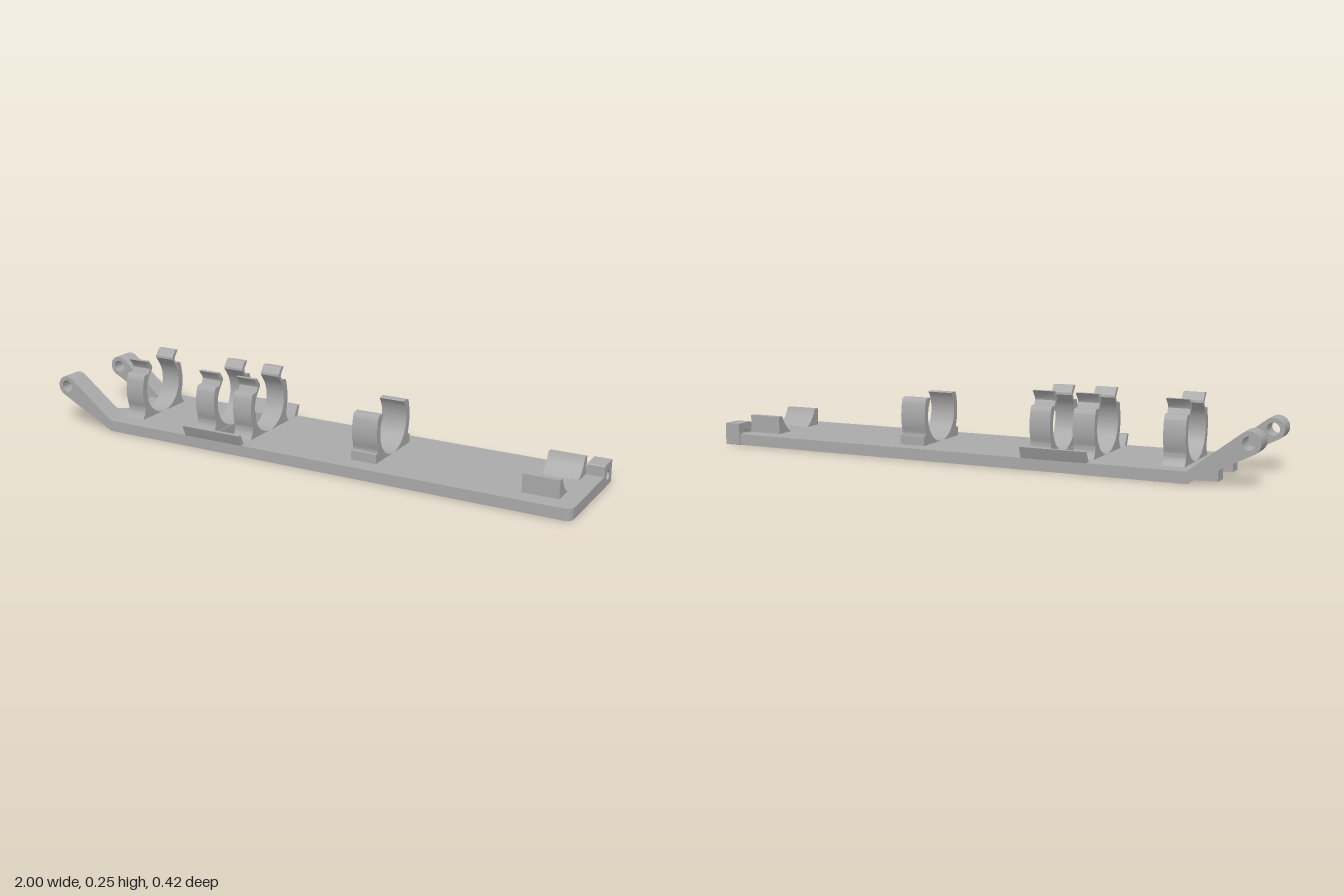
import * as THREE from 'three';
import { toCreasedNormals } from 'three/addons/utils/BufferGeometryUtils.js';

const PLATE_TOP = 0.04;

export function createModel() {
  const model = new THREE.Group();
  const grey = new THREE.MeshStandardMaterial({ color: 0xaaaaaa });
  grey.name = 'grey plastic';

  const extrude = (shape, depth) => new THREE.ExtrudeGeometry(shape, { depth, bevelEnabled: false, curveSegments: 24 });
  const add = (name, geometry, parent = model) => {
    const mesh = new THREE.Mesh(toCreasedNormals(geometry, 0.5), grey);
    mesh.name = name;
    parent.add(mesh);
    return mesh;
  };
  const polygon = (pts) => new THREE.Shape(pts.map(([x, y]) => new THREE.Vector2(x, y)));
  const circle = (x, y, r) => new THREE.Path().absarc(x, y, r, 0, Math.PI * 2, true);
  // Section drawn in (-z, y), extruded along x from x0 to x1
  const alongX = (shape, x0, x1) => extrude(shape, x1 - x0).rotateY(Math.PI / 2).translate(x0, 0, 0);
  const mirrored = (pts, s) => polygon(pts.map((p) => [s * p.x, p.y]));

  // Base plate outline, drawn in (x, -z)
  const plateShape = () => {
    const s = new THREE.Shape();
    s.moveTo(-0.77, -0.195);
    s.lineTo(0.975, -0.195);
    s.absarc(0.975, -0.17, 0.025, -Math.PI / 2, 0, false);
    s.lineTo(1, 0.127);
    s.lineTo(0.94, 0.127);
    s.lineTo(0.94, 0.195);
    s.lineTo(-0.77, 0.195);
    s.lineTo(-0.77, 0.118);
    s.lineTo(-0.847, 0.118);
    s.lineTo(-0.847, 0.06);
    s.absarc(-0.847, 0, 0.06, Math.PI / 2, -Math.PI / 2, true);
    s.lineTo(-0.847, -0.118);
    s.lineTo(-0.77, -0.118);
    s.holes.push(polygon([[-0.35, -0.145], [-0.35, 0.15], [-0.275, 0.15], [-0.275, -0.145]]));
    for (const z of [-0.105, 0.105]) s.holes.push(circle(-0.82, z, 0.011));
    return s;
  };
  // Lower layer carries two blind screw holes
  const lower = plateShape();
  for (const x of [-0.42, -0.62]) lower.holes.push(circle(x, -0.01, 0.014));
  add('basePlateLower', extrude(lower, PLATE_TOP / 2).rotateX(-Math.PI / 2));
  add('basePlateUpper', extrude(plateShape(), PLATE_TOP / 2).rotateX(-Math.PI / 2).translate(0, PLATE_TOP / 2, 0));

  // Hinge arms with eyes
  const arm = new THREE.Shape();
  arm.moveTo(-0.765, 0);
  arm.lineTo(-0.765, PLATE_TOP);
  arm.absarc(-0.962, 0.143, 0.038, 0.9, 4.2, false);
  arm.holes.push(circle(-0.962, 0.143, 0.022));
  for (const [name, z] of [['leftHingeArm', -0.195], ['rightHingeArm', 0.118]]) {
    add(name, extrude(arm, 0.077).translate(0, 0, z));
  }

  // Spring clips: half section, mirrored
  const clipHalf = (lips) => {
    const s = new THREE.Shape();
    s.moveTo(0, 0.035);
    s.lineTo(0.132, 0.035);
    s.lineTo(0.13, PLATE_TOP);
    s.quadraticCurveTo(0.108, 0.065, 0.117, 0.09);
    s.quadraticCurveTo(0.133, 0.14, 0.115, 0.198);
    s.quadraticCurveTo(0.112, 0.205, 0.1, 0.205);
    s.lineTo(0.086, 0.205);
    if (lips) {
      s.lineTo(0.078, 0.222);
      s.lineTo(0.08, 0.23);
      s.lineTo(0.1, 0.255);
      s.lineTo(0.083, 0.255);
      s.lineTo(0.064, 0.231);
      s.lineTo(0.063, 0.223);
    }
    s.absarc(0, 0.14, 0.1, 0.67, -Math.PI / 2, true);
    return s.getPoints(20);
  };
  const clips = [
    ['endClip', -0.74, -0.665, true],
    ['middleClipA', -0.43, -0.353, true],
    ['middleClipB', -0.272, -0.197, true],
    ['openClip', 0.203, 0.297, false],
  ];
  for (const [name, x0, x1, lips] of clips) {
    const group = new THREE.Group();
    group.name = name;
    model.add(group);
    const pts = clipHalf(lips);
    for (const s of [-1, 1]) {
      add(s < 0 ? 'leftJaw' : 'rightJaw', alongX(mirrored(pts, s), x0, x1), group);
      // Stepped foot of the open clip
      if (!lips) {
        const foot = polygon([[s * 0.13, 0.035], [s * 0.13, 0.073], [s * 0.1, 0.073], [s * 0.08, 0.035]]);
        add('foot', alongX(foot, x0, x1), group);
      }
    }
  }

  // Low cradle near the block end
  const cradle = new THREE.Shape();
  cradle.moveTo(0.055, PLATE_TOP);
  cradle.lineTo(0.13, PLATE_TOP);
  cradle.lineTo(0.13, 0.103);
  cradle.absarc(0, 0.14, 0.114, -0.33, -1.068, true);
  const cradlePts = cradle.getPoints(16);

  // Leaning side flanges beside the slot
  const flange = polygon([[0.172, 0.035], [0.193, 0.035], [0.198, 0.046], [0.211, 0.079], [0.195, 0.079]]).getPoints();
  for (const s of [-1, 1]) {
    const side = s < 0 ? 'left' : 'right';
    add(side + 'Cradle', alongX(mirrored(cradlePts, s), 0.812, 0.937));
    add(side + 'Flange', alongX(mirrored(flange, s), -0.43, -0.197));
  }

  // Corner block with a bored hole
  const block = polygon([[0.126, 0], [0.202, 0], [0.202, 0.079], [0.13, 0.079], [0.126, 0.075]]);
  block.holes.push(circle(0.163, 0.037, 0.017));
  add('cornerBlock', alongX(block, 0.94, 1));

  return model;
}
